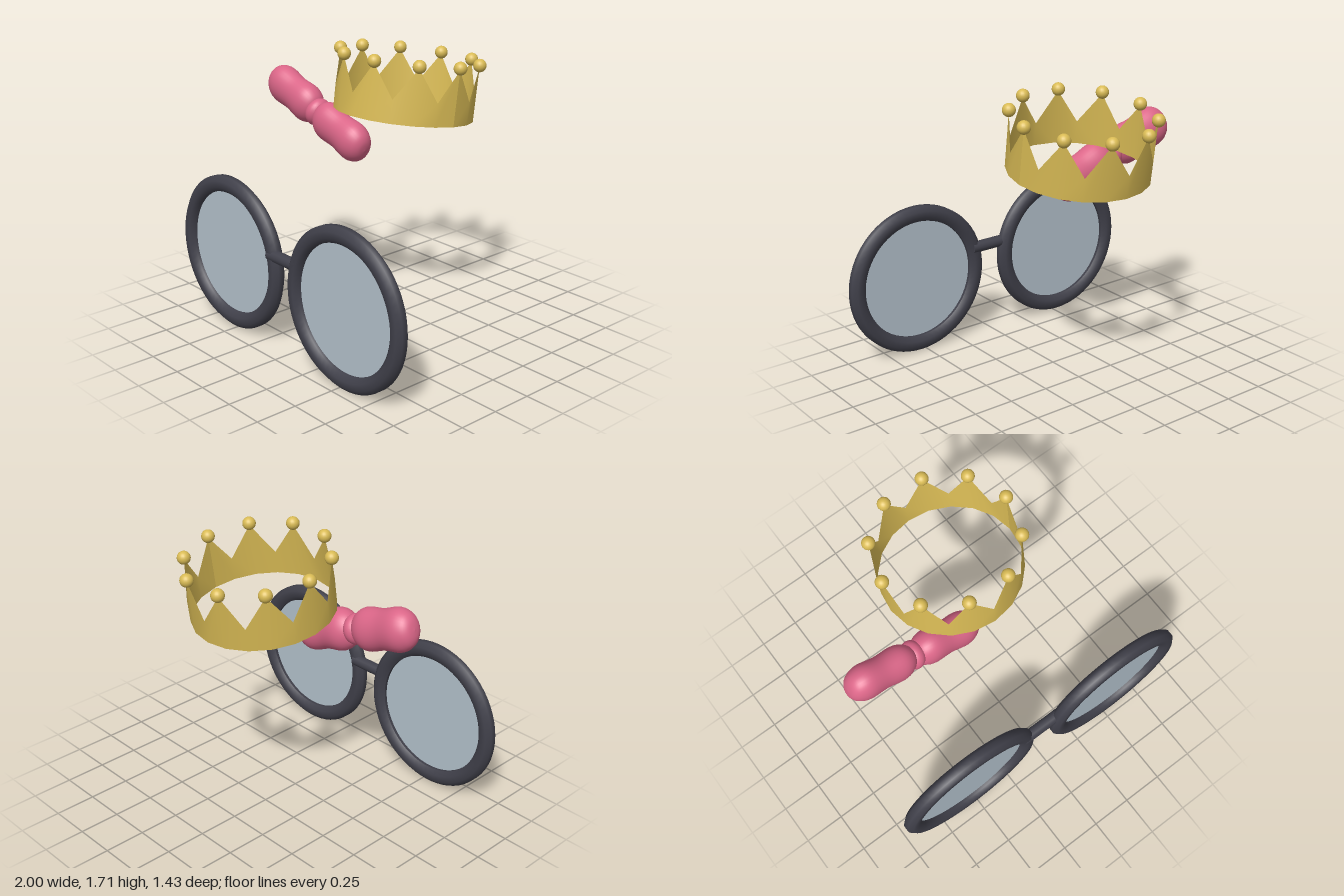
import * as THREE from 'three';

const mat = (name, color, side = THREE.FrontSide) => {
  const m = new THREE.MeshStandardMaterial({ color, side });
  m.name = name;
  return m;
};

export function createModel() {
  const model = new THREE.Group();
  const gold = mat('gold', 0xd9bb55, THREE.DoubleSide);
  const pink = mat('pink', 0xdb6688);
  const dark = mat('charcoal', 0x40404a);
  const glass = mat('pale blue glass', 0xb2c0ca, THREE.DoubleSide);

  const add = (parent, name, geometry, material, x = 0, y = 0, z = 0) => {
    const mesh = new THREE.Mesh(geometry, material);
    mesh.name = name;
    mesh.position.set(x, y, z);
    parent.add(mesh);
    return mesh;
  };
  const addGroup = (name) => {
    const g = new THREE.Group();
    g.name = name;
    model.add(g);
    return g;
  };

  // Glasses: octagonal-section rims, flat lenses and a short bridge
  const glasses = addGroup('glasses');
  const section = [];
  for (let i = 0; i <= 8; i++) {
    const a = Math.PI * (1.125 + i / 4);
    section.push(new THREE.Vector2(0.4225 + 0.0514 * Math.cos(a), 0.046 * Math.sin(a)));
  }
  const rimGeometry = new THREE.LatheGeometry(section, 64).rotateX(Math.PI / 2);
  const lensGeometry = new THREE.CircleGeometry(0.39, 64);
  for (const [side, x, y, z] of [['right', -0.53, 0.481, 0.643], ['left', 0.53, 0.473, 0.672]]) {
    add(glasses, side + 'Rim', rimGeometry, dark, x, y, z);
    add(glasses, side + 'Lens', lensGeometry, glass, x, y, z);
  }
  const bridge = new THREE.CylinderGeometry(0.036, 0.036, 0.28, 16).rotateZ(Math.PI / 2);
  add(glasses, 'bridge', bridge, dark, -0.005, 0.587, 0.655);

  // Crown: an open zigzag band with ten tips, leaning back
  const crown = addGroup('crown');
  crown.position.set(0.005, 1.2875, -0.2375);
  crown.rotation.x = -0.14;
  const tips = 10, radius = 0.415, steps = tips * 2;
  const positions = [], indices = [];
  for (let i = 0; i <= steps; i++) {
    const a = (i / steps) * Math.PI * 2;
    const x = radius * Math.cos(a), z = radius * Math.sin(a);
    positions.push(x, 0, z, x, i % 2 ? 0.137 : 0.325, z);
    if (i < steps) {
      const b = i * 2;
      indices.push(b, b + 1, b + 2, b + 1, b + 3, b + 2);
    }
  }
  const band = new THREE.BufferGeometry();
  band.setAttribute('position', new THREE.Float32BufferAttribute(positions, 3));
  band.setIndex(indices);
  band.computeVertexNormals();
  add(crown, 'crownBand', band, gold);
  const ball = new THREE.SphereGeometry(0.039, 20, 14);
  for (let i = 0; i < tips; i++) {
    const a = (i / tips) * Math.PI * 2;
    add(crown, 'crownBall', ball, gold, radius * Math.cos(a), 0.336, radius * Math.sin(a));
  }

  // Bow: two softly waisted lobes joined by a knot
  const bow = addGroup('bow');
  const profile = new THREE.SplineCurve([
    [0, -0.222], [0.45, -0.213], [0.8, -0.18], [1, -0.115], [0.93, 0],
    [1, 0.115], [0.8, 0.18], [0.45, 0.213], [0, 0.222],
  ].map(([r, s]) => new THREE.Vector2(r, s))).getPoints(40);
  profile.forEach((p) => { p.x = Math.max(p.x, 0); });
  const lobeGeometry = new THREE.LatheGeometry(profile, 32)
    .rotateZ(-Math.PI / 2).scale(1, 0.124, 0.099);
  const knotGeometry = new THREE.SphereGeometry(1, 24, 16).scale(0.062, 0.088, 0.085);
  const pieces = [
    ['rightLobe', lobeGeometry, -0.67, 1.322],
    ['leftLobe', lobeGeometry, -0.245, 1.17],
    ['knot', knotGeometry, -0.46, 1.247],
  ];
  for (const [name, geometry, x, y] of pieces) {
    const piece = add(bow, name, geometry, pink, x, y, 0.03);
    piece.rotation.set(0.15, 0, -0.34, 'ZXY');
  }

  return model;
}
